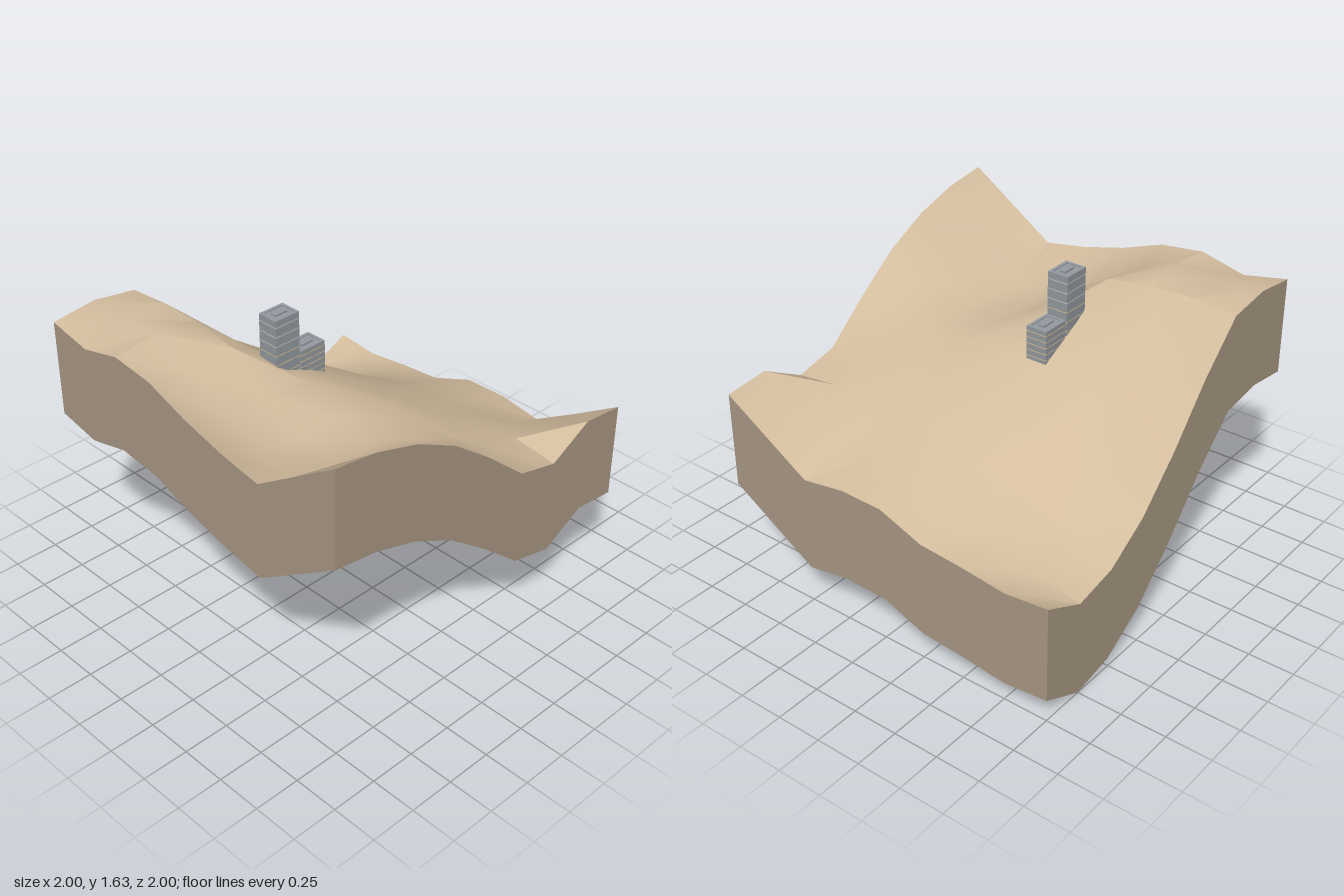
import * as THREE from 'three';
import { toCreasedNormals } from 'three/addons/utils/BufferGeometryUtils.js';

// Ground heights on a 9 x 9 grid: rows run back to front, columns run from -x to +x
const HEIGHTS = [
  [0.655, 0.63, 0.66, 0.68, 0.775, 0.78, 0.74, 0.895, 1.05],
  [0.535, 0.59, 0.69, 0.76, 0.83, 0.85, 0.835, 0.93, 1.075],
  [0.585, 0.69, 0.80, 0.89, 0.94, 0.96, 0.965, 0.97, 0.94],
  [0.74, 0.87, 0.98, 1.05, 1.06, 1.065, 1.06, 1.04, 1.00],
  [0.985, 1.07, 1.15, 1.20, 1.20, 1.18, 1.17, 1.19, 1.21],
  [1.275, 1.28, 1.32, 1.33, 1.30, 1.19, 1.18, 1.27, 1.395],
  [1.515, 1.535, 1.53, 1.49, 1.32, 1.19, 1.18, 1.33, 1.52],
  [1.55, 1.54, 1.56, 1.45, 1.31, 1.22, 1.20, 1.37, 1.595],
  [1.52, 1.47, 1.53, 1.50, 1.41, 1.345, 1.30, 1.465, 1.63],
];
const N = 8;
const SKIRT = 0.532;

const groundMat = new THREE.MeshStandardMaterial({ name: 'sand', color: 0xd2bc9d, side: THREE.DoubleSide });
const skirtMat = new THREE.MeshStandardMaterial({ name: 'earth', color: 0xaa9985, side: THREE.DoubleSide });
const wallMat = new THREE.MeshStandardMaterial({ name: 'concrete', color: 0x949aa0 });
const bandMat = new THREE.MeshStandardMaterial({ name: 'pale band', color: 0xb9bcbe });
const warmMat = new THREE.MeshStandardMaterial({ name: 'warm band', color: 0xc8b595 });

const gridPoint = (i, j) => [-1 + (2 * i) / N, HEIGHTS[j][i], -1 + (2 * j) / N];

function box(parent, name, mat, size, pos) {
  const mesh = new THREE.Mesh(new THREE.BoxGeometry(...size), mat);
  mesh.name = name;
  mesh.position.set(...pos);
  parent.add(mesh);
}

// Rolling ground surface, smooth except at its sharpest folds
function makeGround() {
  const geo = new THREE.PlaneGeometry(2, 2, N, N).rotateX(-Math.PI / 2);
  const pos = geo.attributes.position;
  for (let j = 0; j <= N; j++) {
    for (let i = 0; i <= N; i++) pos.setXYZ(j * (N + 1) + i, ...gridPoint(i, j));
  }
  const mesh = new THREE.Mesh(toCreasedNormals(geo, THREE.MathUtils.degToRad(36)), groundMat);
  mesh.name = 'ground';
  return mesh;
}

// One side wall hanging from a row of edge points
function makeSkirt(name, edge) {
  const verts = [];
  const index = [];
  edge.forEach(([x, y, z], k) => {
    verts.push(x, y, z, x, y - SKIRT, z);
    if (k < N) {
      const a = 2 * k;
      index.push(a, a + 1, a + 2, a + 1, a + 3, a + 2);
    }
  });
  const geo = new THREE.BufferGeometry();
  geo.setAttribute('position', new THREE.Float32BufferAttribute(verts, 3));
  geo.setIndex(index);
  geo.computeVertexNormals();
  const mesh = new THREE.Mesh(geo, skirtMat);
  mesh.name = name;
  return mesh;
}

// Block tower with thin floor bands and a low roof rim
function makeTower(name, { z, depth, base, top, step, warmBelow }) {
  const g = new THREE.Group();
  g.name = name;
  const x = -0.17, w = 0.12, rim = 0.016, rise = 0.006;
  const roof = top - rise;
  box(g, 'walls', wallMat, [w, roof - base, depth], [x, (roof + base) / 2, z]);
  for (let y = roof - step * 0.6; y > base + 0.02; y -= step) {
    const mat = y < warmBelow ? warmMat : bandMat;
    box(g, 'floorBand', mat, [w + 0.002, 0.006, depth + 0.002], [x, y, z]);
  }
  for (const s of [-1, 1]) {
    box(g, 'sideRim', wallMat, [rim, rise, depth], [x + s * (w - rim) / 2, roof + rise / 2, z]);
    box(g, 'endRim', wallMat, [w - 2 * rim, rise, rim], [x, roof + rise / 2, z + s * (depth - rim) / 2]);
  }
  box(g, 'roofHousing', wallMat, [0.035, rise + 0.004, depth * 0.5], [x, roof + rise / 2 + 0.002, z]);
  return g;
}

export function createModel() {
  const model = new THREE.Group();
  model.name = 'hillsideBlock';
  model.add(makeGround());

  // Side walls, each listed left to right as seen from outside
  const steps = Array.from({ length: N + 1 }, (_, k) => k);
  model.add(
    makeSkirt('frontSkirt', steps.map((k) => gridPoint(k, N))),
    makeSkirt('leftSkirt', steps.map((k) => gridPoint(N, N - k))),
    makeSkirt('backSkirt', steps.map((k) => gridPoint(N - k, 0))),
    makeSkirt('rightSkirt', steps.map((k) => gridPoint(0, k))),
  );

  // Two towers on the slope
  model.add(
    makeTower('tallTower', { z: 0.25, depth: 0.155, base: 1.29, top: 1.616, step: 0.053, warmBelow: 1.45 }),
    makeTower('shortTower', { z: 0.083, depth: 0.164, base: 1.2, top: 1.384, step: 0.034, warmBelow: 1.36 }),
  );
  return model;
}
